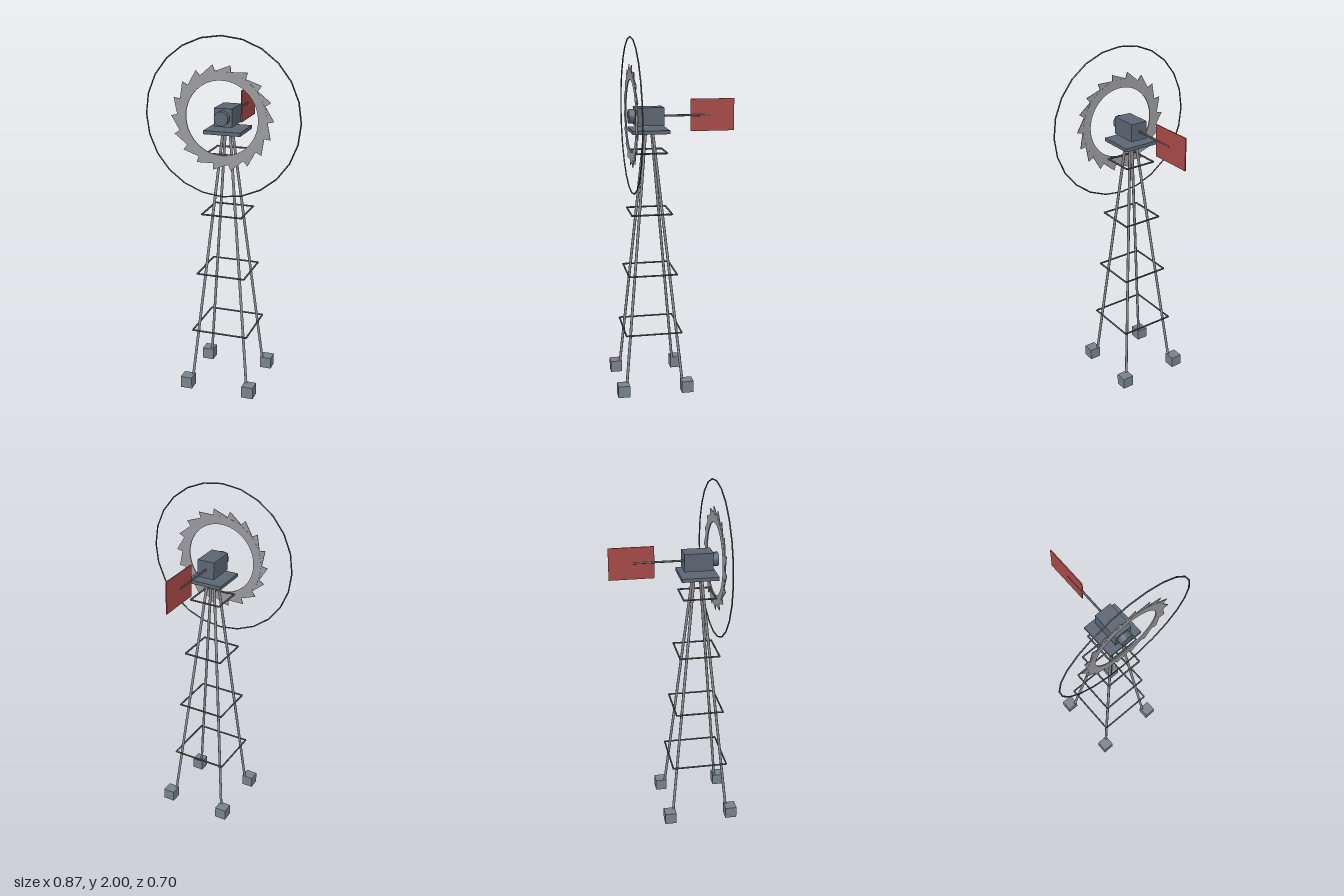
import * as THREE from 'three';

const mat = (color, side = THREE.FrontSide) => new THREE.MeshStandardMaterial({ color, side });
const steel = mat(0x5b6673), concrete = mat(0x78828c), pipe = mat(0x8c8c90);
const dark = mat(0x55555a), bladeGrey = mat(0x9a9a9e, THREE.DoubleSide), red = mat(0xa84a48);

const TOWER_Z = 0.135, WHEEL_Y = 1.567, WHEEL_Z = 0.233;

export function createModel() {
  const model = new THREE.Group();

  const add = (parent, name, geometry, material, x = 0, y = 0, z = 0) => {
    const mesh = new THREE.Mesh(geometry, material);
    mesh.name = name;
    mesh.position.set(x, y, z);
    parent.add(mesh);
    return mesh;
  };
  // Round bar between two points
  const bar = (parent, name, a, b, radius, material) => {
    const dir = b.clone().sub(a);
    const mesh = add(parent, name, new THREE.CylinderGeometry(radius, radius, dir.length(), 8), material);
    mesh.position.copy(a).add(b).multiplyScalar(0.5);
    mesh.quaternion.setFromUnitVectors(new THREE.Vector3(0, 1, 0), dir.normalize());
  };
  const corners = [[1, 1], [-1, 1], [-1, -1], [1, -1]];
  const corner = (i, half, y) =>
    new THREE.Vector3(corners[i % 4][0] * half, y, corners[i % 4][1] * half);

  // Tower: four leaning legs on footings, with square rings of braces
  const tower = new THREE.Group();
  tower.name = 'tower';
  tower.position.z = TOWER_Z;
  model.add(tower);
  for (let i = 0; i < 4; i++) {
    const foot = corner(i, 0.183, 0.0335);
    add(tower, 'footing', new THREE.BoxGeometry(0.067, 0.067, 0.067), concrete, ...foot.toArray());
    bar(tower, 'leg', corner(i, 0.163, 0.03), corner(i, 0.02, 1.48), 0.008, pipe);
    [[0.345, 0.159], [0.685, 0.136], [1.03, 0.113], [1.37, 0.09]].forEach(([y, half]) =>
      bar(tower, 'brace', corner(i, half, y), corner(i + 1, half, y), 0.005, dark));
  }
  add(tower, 'platform', new THREE.BoxGeometry(0.206, 0.02, 0.206), steel, 0, 1.487, 0);

  // Gearbox and hub
  add(model, 'gearbox', new THREE.BoxGeometry(0.1, 0.1, 0.16), steel, 0, WHEEL_Y, 0.135);
  add(model, 'hub', new THREE.CylinderGeometry(0.039, 0.039, 0.035, 16), steel, 0, WHEEL_Y, 0.231)
    .rotation.x = Math.PI / 2;

  // Wheel: thin outer hoop and a flat ring of overlapping blades
  const wheel = new THREE.Group();
  wheel.name = 'wheel';
  wheel.position.set(0, WHEEL_Y, WHEEL_Z);
  model.add(wheel);
  add(wheel, 'outerHoop', new THREE.TorusGeometry(0.429, 0.004, 8, 24), dark);

  const ring = new THREE.Shape().absarc(0, 0, 0.246, 0, Math.PI * 2, false);
  ring.holes.push(new THREE.Path().absarc(0, 0, 0.2, 0, Math.PI * 2, true));
  const flat = (shape, depth) =>
    new THREE.ExtrudeGeometry(shape, { depth, bevelEnabled: false, curveSegments: 36 }).translate(0, 0, -depth / 2);
  add(wheel, 'bladeRing', flat(ring, 0.006), bladeGrey);

  const polar = (r, a) => new THREE.Vector2(r * Math.cos(a), r * Math.sin(a));
  const blade = flat(new THREE.Shape([
    polar(0.225, -0.06), polar(0.285, 0), polar(0.25, 0.33), polar(0.225, 0.28),
  ]), 0.004);
  for (let i = 0; i < 18; i++) {
    add(wheel, 'blade', blade, bladeGrey).rotation.z = (i * Math.PI) / 9;
  }

  // Tail boom and vane
  bar(model, 'tailBoom', new THREE.Vector3(0, WHEEL_Y, 0.06), new THREE.Vector3(0, WHEEL_Y, -0.217), 0.006, dark);
  add(model, 'tailVane', new THREE.BoxGeometry(0.006, 0.18, 0.25), red, 0, WHEEL_Y, -0.227);

  return model;
}
